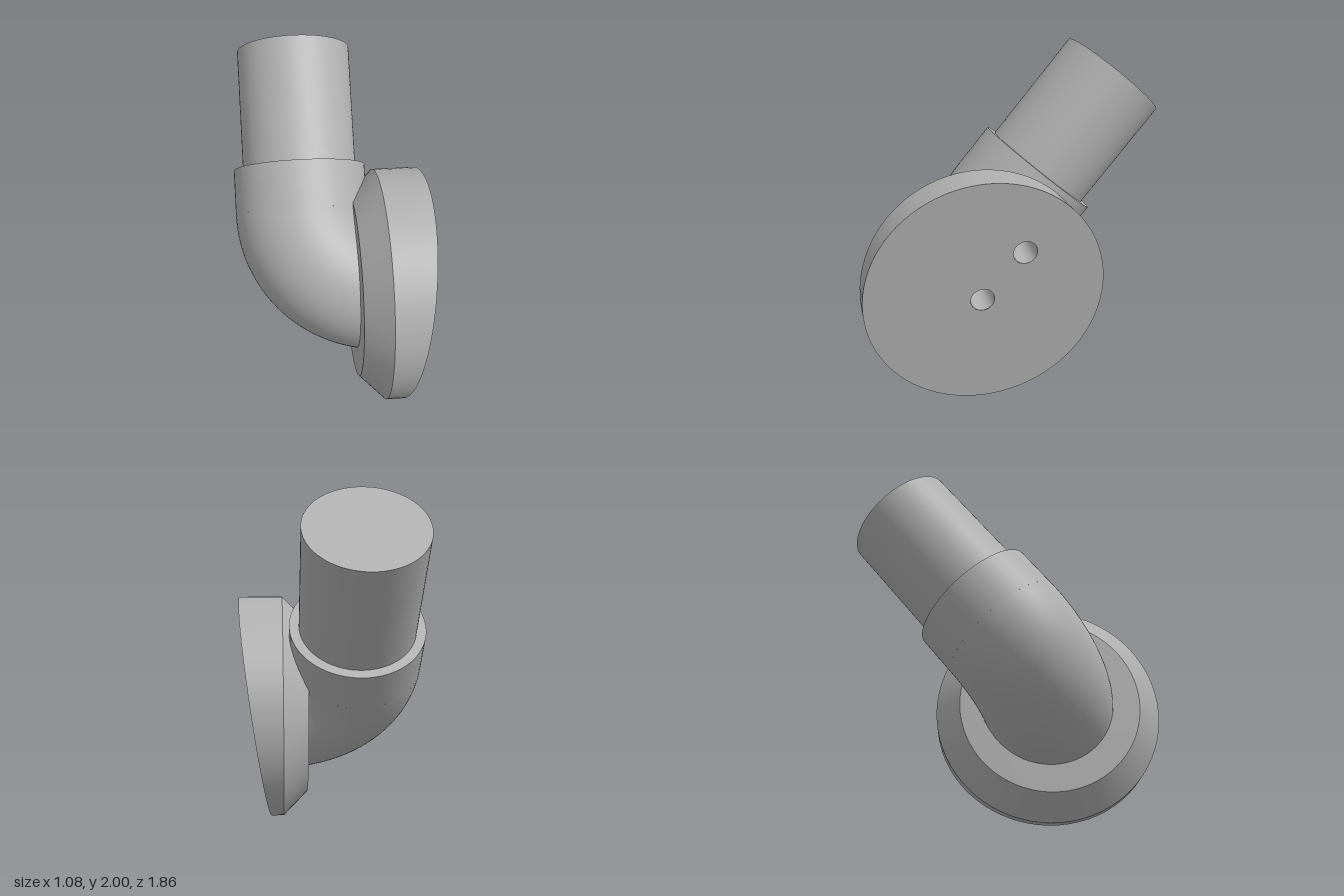
import * as THREE from 'three';
import { toCreasedNormals } from 'three/addons/utils/BufferGeometryUtils.js';

const SEG = 72;
const DISC_Y = 0.685, DISC_Z = 0.2475, DISC_R = 0.684;  // flange centre and radius
const BACK_R = 0.54, BACK_X = 0.13, EDGE_X = 0.275;     // chamfered back of the flange
const SLOPE = 0.195 / 1.37;                             // lean of the mounting face
const faceX = (y) => 0.345 + SLOPE * y;
const HOLES = [[0.665, 0.27], [0.94, 0.035]];           // y, z on the mounting face
const HOLE_R = 0.068, HOLE_DEPTH = 0.46;
const BEND = 0.45, ELBOW_R = 0.392, PIPE_R = 0.337;
const SOCKET_END = 0.715, PIPE_END = 1.432, TILT = THREE.MathUtils.degToRad(40);

export function createModel() {
  const group = new THREE.Group();
  const grey = new THREE.MeshStandardMaterial({ color: 0xb0b0b0 });
  grey.name = 'plain grey';

  const add = (parent, name, geometry) => {
    const mesh = new THREE.Mesh(geometry, grey);
    mesh.name = name;
    parent.add(mesh);
    return mesh;
  };

  const lathe = (points) => toCreasedNormals(
    new THREE.LatheGeometry(points.map(([r, y]) => new THREE.Vector2(r, y)), SEG), 0.6);

  // Round plate facing +x or -x, pierced by the screw holes
  const plate = (radius, xAt, facing, holeShift) => {
    const shape = new THREE.Shape();
    shape.absarc(-DISC_Z * facing, DISC_Y, radius, 0, Math.PI * 2);
    for (const [y, z] of HOLES) {
      const hole = new THREE.Path();
      hole.absarc(-z * facing, y + holeShift(y), HOLE_R, 0, Math.PI * 2, true);
      shape.holes.push(hole);
    }
    const g = new THREE.ShapeGeometry(shape, SEG).rotateY(facing * Math.PI / 2);
    const p = g.attributes.position;
    for (let i = 0; i < p.count; i++) p.setX(i, xAt(p.getY(i)));
    g.computeVertexNormals();
    return g;
  };

  // Flange: leaning front face, flat back, chamfer and rim
  const flange = new THREE.Group();
  flange.name = 'flange';
  group.add(flange);
  add(flange, 'mountingFace', plate(DISC_R, faceX, 1, () => 0));
  add(flange, 'flangeBack', plate(BACK_R, () => BACK_X, -1, (y) => (faceX(y) - BACK_X) * SLOPE));

  const chamfer = new THREE.CylinderGeometry(DISC_R, BACK_R, EDGE_X - BACK_X, SEG, 1, true);
  chamfer.rotateZ(-Math.PI / 2).translate((EDGE_X + BACK_X) / 2, DISC_Y, DISC_Z);
  add(flange, 'flangeChamfer', chamfer);

  const rim = new THREE.CylinderGeometry(DISC_R, DISC_R, 0.1, SEG, 1, true);
  rim.rotateZ(-Math.PI / 2).translate(0, DISC_Y, DISC_Z);
  const rp = rim.attributes.position;
  for (let i = 0; i < rp.count; i++) rp.setX(i, rp.getX(i) > 0 ? faceX(rp.getY(i)) : EDGE_X);
  add(flange, 'flangeRim', rim);

  // Blind screw holes, square to the leaning face
  for (const [y, z] of HOLES) {
    const cup = lathe([[HOLE_R, 0], [HOLE_R, -HOLE_DEPTH], [0, -HOLE_DEPTH]]);
    const hole = add(flange, 'screwHole', cup);
    hole.position.set(faceX(y), y, z);
    hole.rotation.z = -Math.PI / 2 - Math.atan(SLOPE);
  }

  // Arm: elbow, socket and pipe, tilted backward about the flange axis
  const arm = new THREE.Group();
  arm.name = 'arm';
  arm.position.set(-0.153, DISC_Y, DISC_Z);
  arm.rotation.x = -TILT;
  group.add(arm);

  const elbow = new THREE.TorusGeometry(BEND, ELBOW_R, 64, 56, Math.PI / 2);
  elbow.rotateZ(Math.PI).translate(BEND, BEND, 0);
  // Leave out the faces buried in the flange so the screw holes stay clear
  const p = elbow.attributes.position, index = elbow.index.array, kept = [];
  const buried = (i) => p.getX(i) > 0.293 && Math.hypot(p.getY(i), p.getZ(i)) < 0.5;
  for (let i = 0; i < index.length; i += 3) {
    const tri = [index[i], index[i + 1], index[i + 2]];
    if (!tri.every(buried)) kept.push(...tri);
  }
  elbow.setIndex(kept);
  add(arm, 'elbow', elbow);

  add(arm, 'socket', lathe([[ELBOW_R, BEND], [ELBOW_R, SOCKET_END], [PIPE_R, SOCKET_END]]));
  add(arm, 'pipe', lathe([[PIPE_R, SOCKET_END], [PIPE_R, PIPE_END], [0, PIPE_END]]));

  return group;
}
